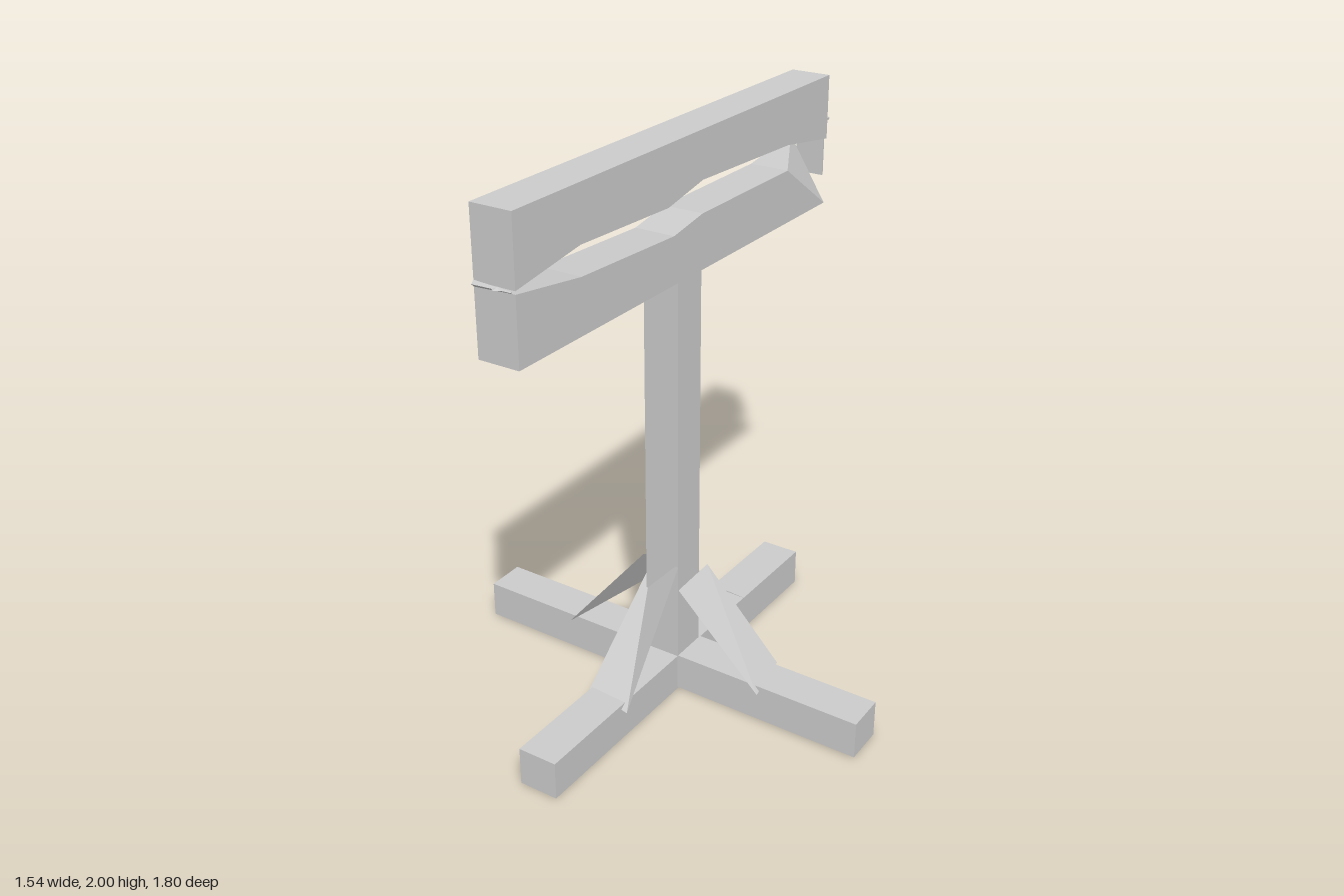
import * as THREE from 'three';

const wood = new THREE.MeshStandardMaterial({ color: 0xcccccc, flatShading: true, side: THREE.DoubleSide });

function add(group, name, geometry) {
  const mesh = new THREE.Mesh(geometry, wood);
  mesh.name = name;
  group.add(mesh);
  return mesh;
}

// Apply a rule to every vertex, then refresh flat normals
function warp(geometry, rule) {
  const g = geometry.index ? geometry.toNonIndexed() : geometry;
  const p = g.attributes.position;
  const v = new THREE.Vector3();
  for (let i = 0; i < p.count; i++) {
    rule(v.fromBufferAttribute(p, i));
    p.setXYZ(i, v.x, v.y, v.z);
  }
  g.computeVertexNormals();
  return g;
}

// Box given by its ranges on the three axes
function boxBetween([x0, x1], [y0, y1], [z0, z1]) {
  return new THREE.BoxGeometry(x1 - x0, y1 - y0, z1 - z0)
    .translate((x0 + x1) / 2, (y0 + y1) / 2, (z0 + z1) / 2);
}

// Board cut from a (z, y) outline, slightly out of line with the z axis
function board(outline) {
  const shape = new THREE.Shape(outline.map(([z, y]) => new THREE.Vector2(z, y)));
  const g = new THREE.ExtrudeGeometry(shape, { depth: 0.143, bevelEnabled: false });
  g.rotateY(-Math.PI / 2).translate(0.0715, 0, 0);
  return warp(g, v => { v.x += 0.0025 - 0.0087 * v.z; });
}

// Thin twisted plate through four corners
function plate(a, b, c, d) {
  const g = new THREE.BufferGeometry();
  g.setAttribute('position', new THREE.Float32BufferAttribute([a, b, c, a, c, d].flat(), 3));
  g.computeVertexNormals();
  return g;
}

export function createModel() {
  const group = new THREE.Group();

  // Crossed feet and post
  add(group, 'sideFoot', warp(boxBetween([-0.77, 0.77], [0.005, 0.14], [-0.072, 0.072]),
    v => { v.z += 0.016 + 0.01 * v.x; }));
  add(group, 'lengthFoot', warp(boxBetween([-0.071, 0.071], [0, 0.138], [-0.75, 0.795]),
    v => { v.x -= 0.003 + 0.011 * v.z; }));
  add(group, 'post', boxBetween([-0.062, 0.068], [0.01, 1.56], [-0.045, 0.09]));

  // Braces: upper pair of corners, then lower pair
  add(group, 'frontBrace', plate(
    [-0.09, 0.44, 0.01], [0.075, 0.512, 0.1], [0.088, 0.12, 0.435], [-0.085, 0.13, 0.41]));
  add(group, 'backBrace', plate(
    [0.092, 0.435, 0.03], [-0.07, 0.512, -0.05], [-0.08, 0.13, -0.38], [0.095, 0.13, -0.365]));
  add(group, 'rightBrace', plate(
    [-0.01, 0.435, -0.065], [-0.07, 0.515, 0.095], [-0.388, 0.13, 0.11], [-0.38, 0.14, -0.07]));
  add(group, 'leftBrace', plate(
    [0.09, 0.445, -0.065], [0.085, 0.43, 0.112], [0.402, 0.12, 0.112], [0.38, 0.14, -0.065]));

  // Clamping boards with a shallow gap between them
  add(group, 'upperBoard', board([
    [-0.84, 2], [-0.84, 1.778], [-0.57, 1.82], [-0.04, 1.84],
    [0.15, 1.803], [0.59, 1.82], [0.88, 1.778], [0.88, 2]]));
  const lower = board([
    [-0.84, 1.545], [0.88, 1.545], [0.88, 1.768], [0.59, 1.725],
    [0.12, 1.705], [-0.04, 1.732], [-0.57, 1.732], [-0.84, 1.768]]);
  // The back upper corner is broken away on one side
  add(group, 'lowerBoard', warp(lower, v => {
    if (v.z < -0.8 && v.y > 1.7 && v.x > 0) v.x = -0.06;
  }));

  // Hinge pin on the front end
  const pin = new THREE.CylinderGeometry(0.003, 0.01, 0.13, 4).rotateZ(-Math.PI / 2);
  add(group, 'hingePin', pin).position.set(-0.005, 1.775, 0.888);
  const tip = new THREE.ConeGeometry(0.015, 0.02, 4).scale(1.8, 1, 0.4).rotateX(Math.PI / 2);
  add(group, 'hingeTip', tip).position.set(0.01, 1.775, 0.895);

  // Hasp, its rod and the pointed peg on the back end
  const latch = new THREE.Group();
  latch.name = 'latch';
  group.add(latch);
  add(latch, 'hasp', new THREE.BoxGeometry(0.105, 0.21, 0.008)).position.set(0.01, 1.745, -0.855);
  const rod = new THREE.CylinderGeometry(0.005, 0.005, 0.14, 4).rotateZ(Math.PI / 2);
  add(latch, 'haspRod', rod).position.set(0.008, 1.845, -0.857);
  const peg = new THREE.ConeGeometry(0.05, 0.04, 4).rotateX(-Math.PI / 2).scale(0.5, 1, 1);
  add(latch, 'peg', peg).position.set(0.015, 1.705, -0.88);

  return group;
}
